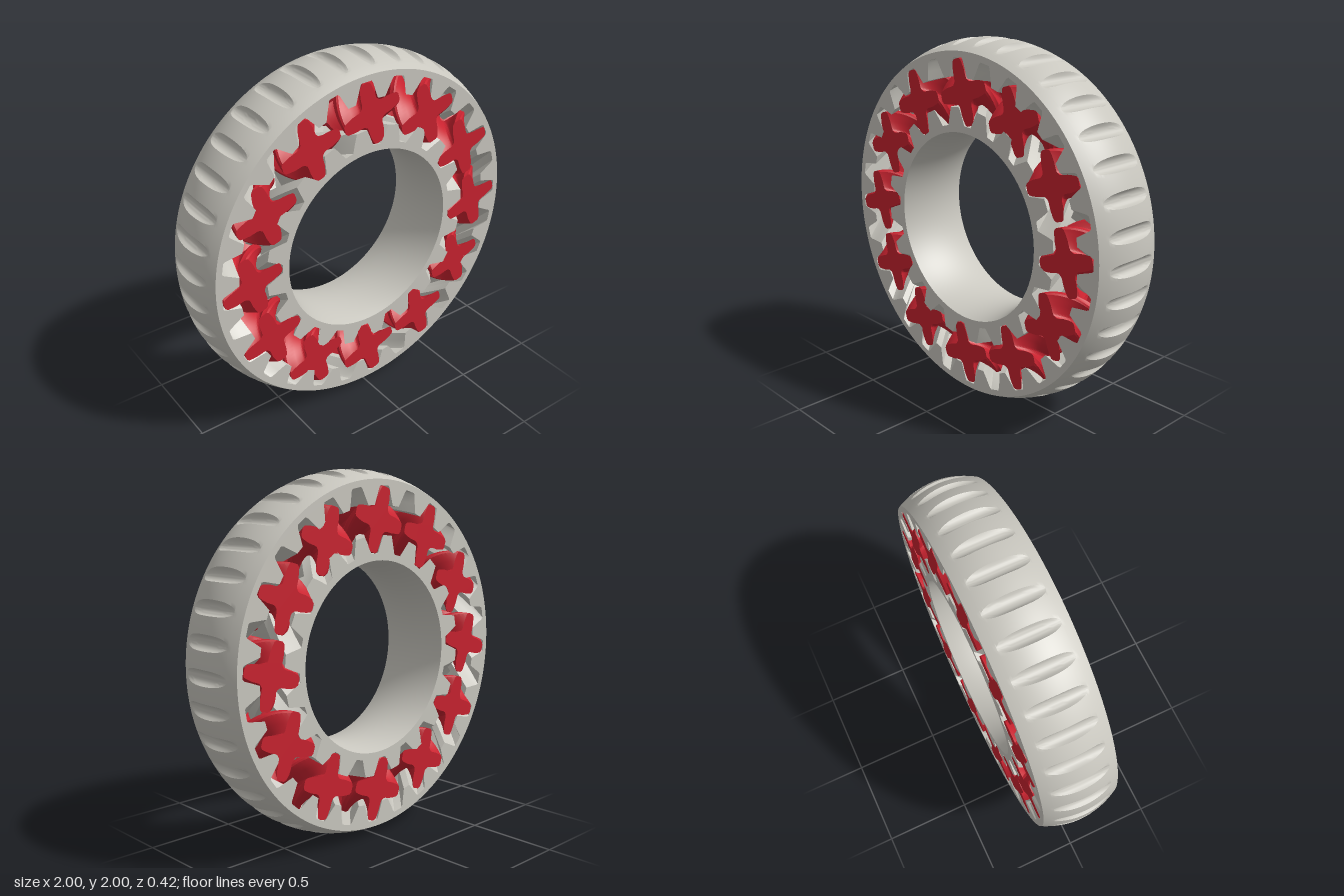
import * as THREE from 'three';
import { mergeGeometries, toCreasedNormals } from 'three/addons/utils/BufferGeometryUtils.js';

const H = 0.21;            // half width of the bearing
const RAD = Math.PI / 180;
const polar = (r, a) => new THREE.Vector2(r * Math.cos(a), r * Math.sin(a));

// Closed counter-clockwise outline: n teeth given as [radius, half angle in degrees], root to tip
function toothProfile(n, phaseDeg, pts) {
  const out = [];
  for (let k = 0; k < n; k++) {
    const c = phaseDeg + (k * 360) / n;
    for (const [r, h] of pts) out.push(polar(r, (c - h) * RAD));
    for (const [r, h] of [...pts].reverse()) out.push(polar(r, (c + h) * RAD));
  }
  return out;
}

// Skin over closed rows of equal length, ordered from front to back
function skin(rows, inward = false, crease = 28) {
  const pos = [], idx = [], n = rows[0].pts.length;
  for (const { z, pts } of rows) for (const p of pts) pos.push(p.x, p.y, z);
  for (let i = 0; i < rows.length - 1; i++) {
    for (let j = 0; j < n; j++) {
      const a = i * n + j, b = i * n + (j + 1) % n, c = a + n, d = b + n;
      if (inward) idx.push(a, b, c, b, d, c);
      else idx.push(a, c, b, b, c, d);
    }
  }
  const g = new THREE.BufferGeometry();
  g.setAttribute('position', new THREE.Float32BufferAttribute(pos, 3));
  g.setIndex(idx);
  return toCreasedNormals(g, crease * RAD);
}

// Herringbone rows: the outline turns towards the middle and back again
function twistedRows(profile, twistDeg, steps) {
  const rows = [], o = new THREE.Vector2();
  for (let i = 0; i <= 2 * steps; i++) {
    const z = H * (1 - i / steps);
    const a = twistDeg * RAD * (1 - Math.abs(z) / H);
    rows.push({ z, pts: profile.map((p) => p.clone().rotateAround(o, a)) });
  }
  return rows;
}

// Flat front and back faces
function caps(outline, hole) {
  const shape = new THREE.Shape(outline);
  if (hole) shape.holes.push(new THREE.Path(hole));
  return [1, -1].map((s) => {
    const g = new THREE.ShapeGeometry(shape);
    if (s < 0) g.setIndex(Array.from(g.index.array).reverse());
    g.translate(0, 0, s * H);
    g.deleteAttribute('uv');
    const flat = g.toNonIndexed();
    flat.computeVertexNormals();
    return flat;
  });
}

// Barrel-shaped tread with straight round grooves cut across it
function treadRows() {
  const count = 37, cut = 0.042, centre = 1.01, floor = centre - cut;
  const zEnd = H * Math.sqrt((1 - floor) / 0.055);
  const zs = [H, 0.195, 0.175];
  for (let i = 0; i <= 20; i++) zs.push(zEnd * Math.cos((i * Math.PI) / 20));
  zs.push(-0.175, -0.195, -H);
  return zs.map((z) => {
    const R = 1 - 0.055 * (z / H) ** 2;
    const cosH = Math.min(1, (R * R + centre * centre - cut * cut) / (2 * R * centre));
    const h = Math.max(Math.acos(cosH), 0.0004);
    const pts = [];
    for (let k = 0; k < count; k++) {
      const c = (k * 2 * Math.PI) / count, half = Math.PI / count;
      for (let i = -5; i <= 5; i++) {
        const a = (h * i) / 5;
        const groove = centre * Math.cos(a)
          - Math.sqrt(Math.max(0, cut * cut - (centre * Math.sin(a)) ** 2));
        pts.push(polar(Math.min(R, groove), c + a));
      }
      for (const t of [0.33, 0.67, 1, 1.33, 1.67]) {
        const a = t <= 1 ? h + (half - h) * t : 2 * half - (h + (half - h) * (2 - t));
        pts.push(polar(R, c + a));
      }
    }
    return { z, pts };
  });
}

// Bore that bulges gently towards the axis
function boreRows() {
  const rows = [];
  for (let i = 0; i <= 16; i++) {
    const z = H * (1 - i / 8), r = 0.49 + 0.032 * (z / H) ** 2, pts = [];
    for (let j = 0; j < 120; j++) pts.push(polar(r, (j * Math.PI) / 60));
    rows.push({ z, pts });
  }
  return rows;
}

export function createModel() {
  const grey = new THREE.MeshStandardMaterial({ color: 0xc9c7bf });
  grey.name = 'warm grey';
  const red = new THREE.MeshStandardMaterial({ color: 0xc8222f });
  red.name = 'red';

  const model = new THREE.Group();
  model.name = 'planetaryGearBearing';
  const add = (name, parts, material) => {
    const mesh = new THREE.Mesh(mergeGeometries(parts), material);
    mesh.name = name;
    mesh.position.y = 1;
    model.add(mesh);
    return mesh;
  };

  // Outer ring: grooved tread outside, 28 tooth gaps inside
  const ringGaps = toothProfile(28, 92.43, [[0.812, 4.8], [0.858, 3.5], [0.9, 2.5], [0.912, 1.9]]);
  const tread = treadRows();
  add('outerRing', [
    skin(tread),
    skin(twistedRows(ringGaps, -90 / 7, 8), true),
    ...caps(tread[0].pts, ringGaps),
  ], grey);

  // Sun gear: 20 teeth around the bore
  const sunTeeth = toothProfile(20, 95.6, [[0.56, 6.6], [0.57, 6.1], [0.6125, 4.4], [0.655, 2.8]]);
  const bore = boreRows();
  add('sunGear', [
    skin(twistedRows(sunTeeth, 18, 8)),
    skin(bore, true),
    ...caps(sunTeeth, bore[0].pts),
  ], grey);

  // Twelve four-toothed planet gears, all turned the same way
  const planetTeeth = toothProfile(4, 17,
    [[0.079, 38], [0.088, 31], [0.122, 21], [0.15, 14.5], [0.17, 10.5], [0.177, 6]]);
  const planetParts = [skin(twistedRows(planetTeeth, -90, 14)), ...caps(planetTeeth)];
  for (let k = 0; k < 12; k++) {
    const p = polar(0.735, k * 30 * RAD);
    add('planetGear' + (k + 1), planetParts, red).position.set(p.x, 1 + p.y, 0);
  }
  return model;
}
